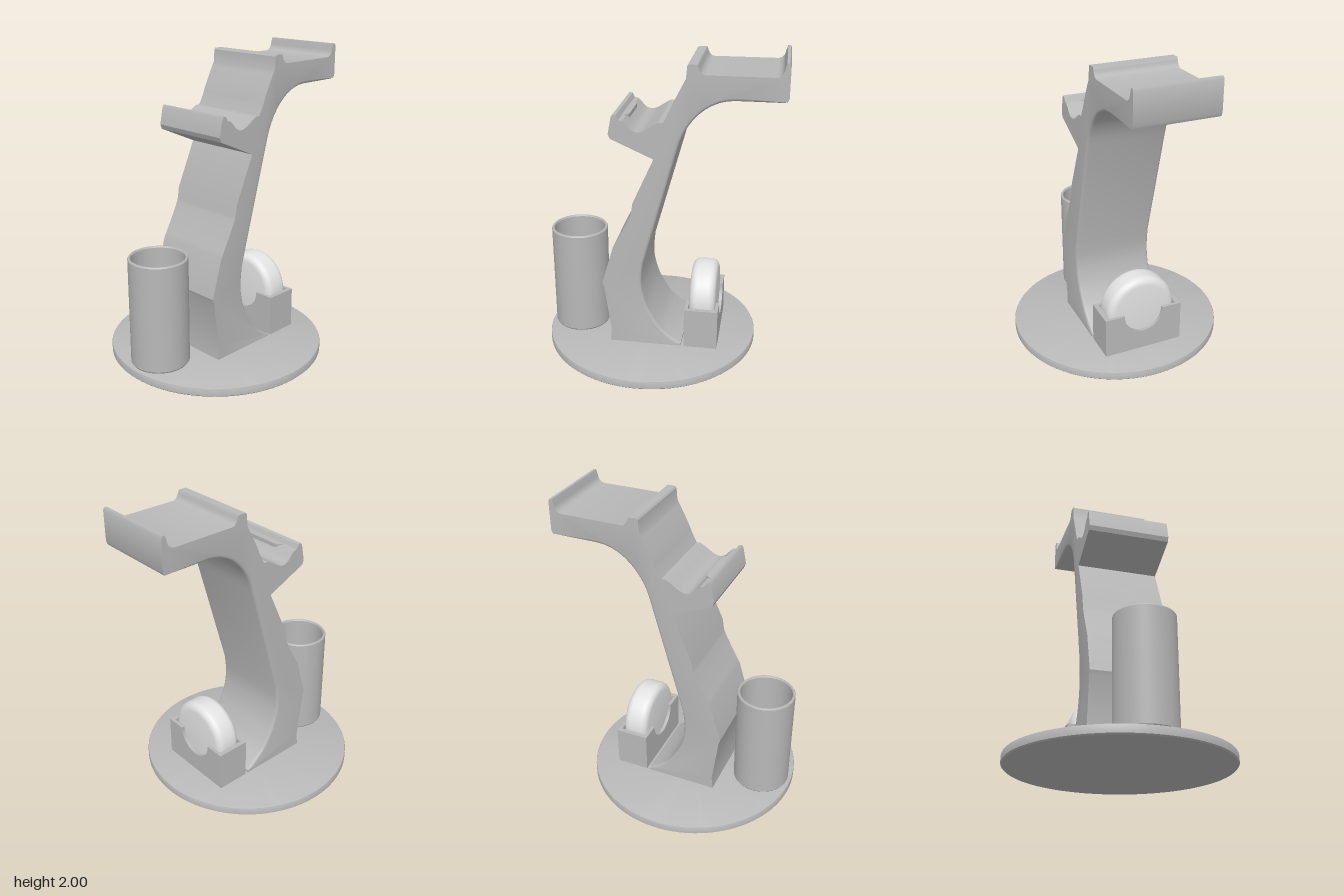
import * as THREE from 'three';
import { toCreasedNormals } from 'three/addons/utils/BufferGeometryUtils.js';

const standGrey = new THREE.MeshStandardMaterial({ color: 0xb8b8b8 });
standGrey.name = 'stand grey';
const puckWhite = new THREE.MeshStandardMaterial({ color: 0xe2e2e2 });
puckWhite.name = 'puck pale grey';

const HALF = 0.272; // half depth of arm and holder

function add(group, name, geometry, material = standGrey) {
  const mesh = new THREE.Mesh(toCreasedNormals(geometry, 0.5), material);
  mesh.name = name;
  group.add(mesh);
  return mesh;
}

function lathe(points, segments = 72) {
  return new THREE.LatheGeometry(points.map(([r, y]) => new THREE.Vector2(r, y)), segments);
}

function lines(path, points) {
  points.forEach(([x, y]) => path.lineTo(x, y));
}

// Side outline of the arm, counter-clockwise; the inner curve comes first
function armOutline() {
  const inner = new THREE.Path();
  inner.moveTo(0.16, 0.075);
  inner.splineThru([[0.08, 0.13], [0.01, 0.2], [-0.06, 0.32], [-0.095, 0.43], [-0.105, 0.53], [-0.095, 0.65]]
    .map(([x, y]) => new THREE.Vector2(x, y)));
  inner.lineTo(0.127, 1.45);
  inner.bezierCurveTo(0.17, 1.62, 0.3, 1.765, 0.475, 1.765);
  inner.lineTo(0.75, 1.765);

  const outer = new THREE.Path();
  // tray with end lip
  outer.moveTo(0.77, 1.772);
  lines(outer, [[0.78, 1.795], [0.78, 1.985], [0.772, 2], [0.755, 2], [0.745, 1.965]]);
  outer.quadraticCurveTo(0.738, 1.92, 0.7, 1.915);
  outer.lineTo(0.285, 1.915);
  outer.quadraticCurveTo(0.258, 1.925, 0.25, 1.96);
  lines(outer, [[0.242, 1.975], [0.19, 1.975], [0.182, 1.965], [0.175, 1.885]]);
  // back rest and cradle dish
  outer.quadraticCurveTo(0.1, 1.75, 0.075, 1.68);
  lines(outer, [[0.04, 1.615], [0.01, 1.615]]);
  outer.bezierCurveTo(-0.06, 1.58, -0.12, 1.5, -0.185, 1.59);
  lines(outer, [[-0.21, 1.617], [-0.235, 1.622], [-0.25, 1.65], [-0.27, 1.655], [-0.28, 1.64],
    [-0.302, 1.53], [-0.29, 1.5], [-0.02, 1.38], [-0.155, 1.08], [-0.167, 1.0]]);
  // scooped grip and foot
  outer.quadraticCurveTo(-0.2, 0.92, -0.29, 0.76);
  lines(outer, [[-0.365, 0.5], [-0.355, 0.47], [-0.312, 0.15], [-0.32, 0.055], [0.16, 0.055]]);

  const a = inner.getPoints(10);
  return { points: [...a, ...outer.getPoints(10)], insetCount: a.length };
}

// Arm from stacked outlines, with a rounded edge along the inner curve only
function armGeometry() {
  const { points, insetCount } = armOutline();
  const n = points.length, r = 0.02, steps = 4;
  const layers = [];
  for (let k = 0; k <= steps; k++) {
    const t = k / steps * Math.PI / 2;
    layers.push([HALF - r * (1 - Math.sin(t)), r * (1 - Math.cos(t))]);
  }
  const all = [...layers.map(([z, d]) => [-z, d]).reverse(), ...layers];
  const position = [], index = [];
  for (const [z, inset] of all) {
    points.forEach((p, i) => {
      const t = points[(i + 1) % n].clone().sub(points[(i + n - 1) % n]).normalize();
      const d = i > 0 && i < insetCount ? inset : 0;
      position.push(p.x - t.y * d, p.y + t.x * d, z);
    });
  }
  for (let k = 0; k < all.length - 1; k++) {
    for (let i = 0; i < n; i++) {
      const a = k * n + i, b = k * n + (i + 1) % n;
      index.push(a, b, b + n, a, b + n, a + n);
    }
  }
  const last = (all.length - 1) * n;
  for (const [a, b, c] of THREE.ShapeUtils.triangulateShape(points, [])) {
    index.push(c, b, a, last + a, last + b, last + c);
  }
  const g = new THREE.BufferGeometry();
  g.setAttribute('position', new THREE.Float32BufferAttribute(position, 3));
  g.setIndex(index);
  return g;
}

// Holder slice: block with a half-round notch, extruded along x
function notchedSlab(radius, x, width) {
  const s = new THREE.Shape();
  s.moveTo(-HALF, 0.055);
  lines(s, [[HALF, 0.055], [HALF, 0.335], [radius, 0.335]]);
  s.absarc(0, 0.33, radius, 0, -Math.PI, true);
  lines(s, [[-radius, 0.335], [-HALF, 0.335]]);
  return new THREE.ExtrudeGeometry(s, { depth: width, bevelEnabled: false, curveSegments: 32 })
    .rotateY(Math.PI / 2).translate(x, 0, 0);
}

export function createModel() {
  const model = new THREE.Group();
  model.name = 'deskStand';

  // Round base plate
  add(model, 'base', lathe([[0, 0], [0.705, 0], [0.713, 0.008], [0.713, 0.05], [0.71, 0.057],
    [0.703, 0.06], [0, 0.06]], 96)).position.x = -0.075;

  // Hollow pen cup
  add(model, 'penCup', lathe([[0, 0.058], [0.182, 0.058], [0.19, 0.07], [0.19, 0.77], [0.185, 0.778],
    [0.176, 0.778], [0.171, 0.77], [0.171, 0.09], [0, 0.09]])).position.x = -0.577;

  // Arm with tray and cradle
  add(model, 'arm', armGeometry());

  // Raised pad on the cradle lip
  const pad = new THREE.Shape();
  pad.moveTo(-0.255, -0.2);
  pad.bezierCurveTo(-0.235, -0.14, -0.192, -0.17, -0.192, -0.1);
  pad.lineTo(-0.192, 0.1);
  pad.bezierCurveTo(-0.192, 0.17, -0.235, 0.14, -0.255, 0.2);
  add(model, 'cradlePad', new THREE.ExtrudeGeometry(pad, { depth: 0.09, bevelEnabled: false })
    .rotateX(Math.PI / 2).translate(0, 1.623, 0));

  // Puck holder: two thin notched walls around a wider seat
  const holder = new THREE.Group();
  holder.name = 'puckHolder';
  add(holder, 'innerWall', notchedSlab(0.137, 0.18, 0.022));
  add(holder, 'seat', notchedSlab(0.241, 0.202, 0.178));
  add(holder, 'outerWall', notchedSlab(0.137, 0.38, 0.022));
  model.add(holder);

  // Round-edged puck standing in the holder
  const R = 0.239, W = 0.087, f = 0.05, profile = [[0, -W]];
  for (const side of [-1, 1]) {
    for (let k = 0; k <= 6; k++) {
      const t = (side < 0 ? k : 6 - k) / 6 * Math.PI / 2;
      profile.push([R - f + f * Math.sin(t), side * (W - f + f * Math.cos(t))]);
    }
  }
  profile.push([0, W]);
  add(model, 'puck', lathe(profile).rotateZ(-Math.PI / 2), puckWhite).position.set(0.291, 0.331, 0);

  return model;
}
